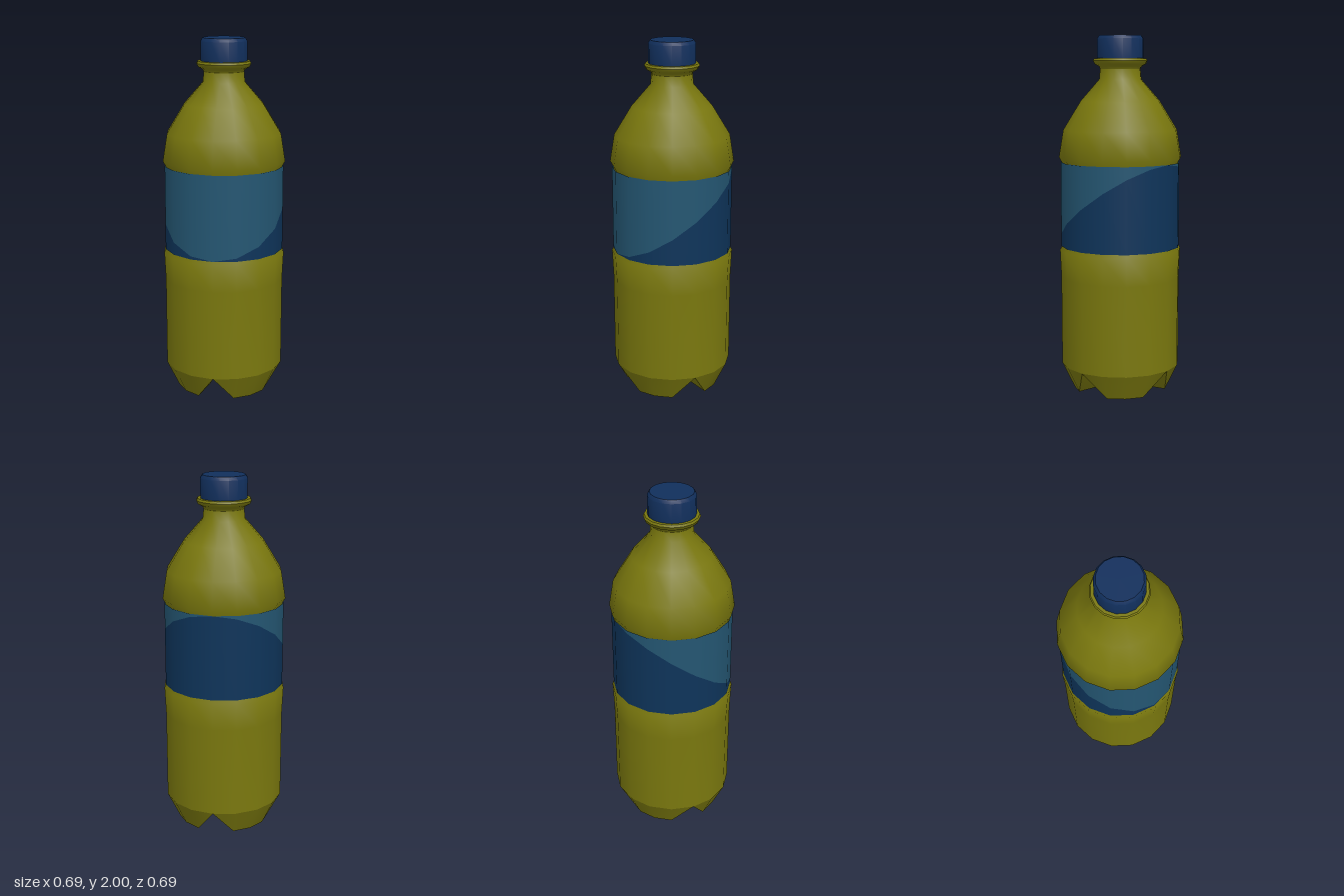
import * as THREE from 'three';
import { toCreasedNormals } from 'three/addons/utils/BufferGeometryUtils.js';

const SIDES = 16;
const FOOT_TOP = 0.145, BODY_R = 0.335;
const LABEL_LOW = 0.825, LABEL_HIGH = 1.3;

const paint = (color) => new THREE.MeshStandardMaterial({ color, side: THREE.DoubleSide });

function addMesh(group, name, geometry, material) {
  const mesh = new THREE.Mesh(geometry, material);
  mesh.name = name;
  group.add(mesh);
}

// Turned part from [radius, height] pairs, listed bottom to top
function turned(profile, crease = 0.8) {
  const points = profile.map(([r, y]) => new THREE.Vector2(r, y));
  return toCreasedNormals(new THREE.LatheGeometry(points, SIDES), crease);
}

// Four-footed base with a valley between each pair of feet
function baseGeometry() {
  const corners = [];
  const at = (r, step, y) => {
    const a = (step * Math.PI * 2) / SIDES;
    return [r * Math.sin(a), y, r * Math.cos(a)];
  };
  const tri = (...points) => points.forEach((p) => corners.push(...p));
  const centre = [0, FOOT_TOP, 0];
  for (let k = 0; k < SIDES; k += 4) {
    const [v0, t1, t2, t3, v4] = [0, 1, 2, 3, 4].map((i) => at(BODY_R, k + i, FOOT_TOP));
    const [b1, b2, b3] = [1, 2, 3].map((i) => at(0.265, k + i, 0));
    const tip = at(0.1, k + 2, 0);
    // outer wall
    tri(v0, b1, t1);
    tri(b1, b2, t2); tri(b1, t2, t1);
    tri(b2, b3, t3); tri(b2, t3, t2);
    tri(b3, v4, t3);
    // sole
    tri(tip, b2, b1); tri(tip, b3, b2);
    // valley flanks
    tri(v0, tip, b1); tri(centre, tip, v0);
    tri(b3, tip, v4); tri(centre, v4, tip);
  }
  const geometry = new THREE.BufferGeometry();
  geometry.setAttribute('position', new THREE.Float32BufferAttribute(corners, 3));
  return toCreasedNormals(geometry, 0.6);
}

// Label band, divided by a slanted plane that rises from front to back
function labelGeometry(upper) {
  const points = [LABEL_LOW, LABEL_HIGH].map((y) => new THREE.Vector2(BODY_R, y));
  const geometry = new THREE.LatheGeometry(points, SIDES);
  const pos = geometry.attributes.position;
  for (let i = 0; i < pos.count; i++) {
    const isTop = pos.getY(i) > 1;
    if (isTop === upper) continue;
    const t = (BODY_R - pos.getZ(i)) / (2 * BODY_R);
    pos.setY(i, THREE.MathUtils.lerp(LABEL_LOW, LABEL_HIGH, t));
  }
  return geometry;
}

export function createModel() {
  const bottle = new THREE.Group();
  bottle.name = 'bottle';
  const olive = paint(0x7a780e);
  const navy = paint(0x112f5c);

  addMesh(bottle, 'base', baseGeometry(), olive);

  // Lower body, recess behind the label, shoulder and neck
  addMesh(bottle, 'body', turned([
    [BODY_R, FOOT_TOP], [0.336, 0.65], [0.343, 0.805], [0.328, 0.828],
    [0.328, 1.297], [0.345, 1.328], [0.32, 1.48], [0.222, 1.64],
    [0.118, 1.76], [0.112, 1.825],
  ]), olive);

  addMesh(bottle, 'neckRing', turned([
    [0.112, 1.815], [0.118, 1.83], [0.143, 1.843], [0.152, 1.862],
    [0.146, 1.874], [0.1, 1.876],
  ]), olive);

  addMesh(bottle, 'labelLower', labelGeometry(false), paint(0x0e345a));
  addMesh(bottle, 'labelUpper', labelGeometry(true), paint(0x245672));

  addMesh(bottle, 'cap', turned([
    [0.1, 1.874], [0.13, 1.874], [0.13, 1.982], [0.118, 2], [0, 2],
  ], 0.6), navy);

  return bottle;
}
